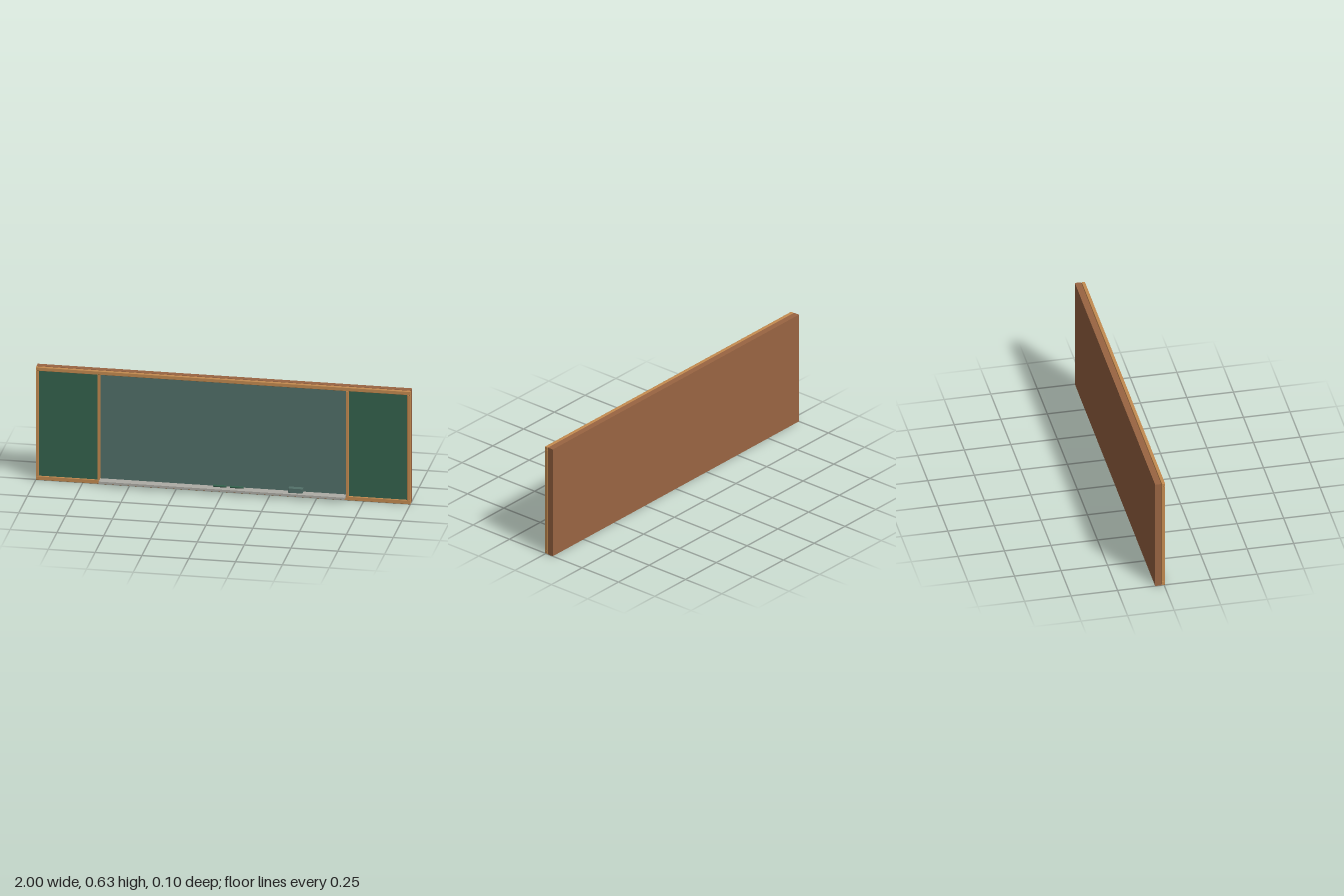
import * as THREE from 'three';
import { RoundedBoxGeometry } from 'three/addons/geometries/RoundedBoxGeometry.js';

const material = (name, color) => {
  const m = new THREE.MeshStandardMaterial({ color });
  m.name = name;
  return m;
};

export function createModel() {
  const group = new THREE.Group();
  const backWood = material('brown wood', 0x9a6542);
  const frameWood = material('light wood', 0xc48b50);
  const green = material('board green', 0x34634e);
  const slate = material('slate green', 0x527069);
  const metal = material('tray grey', 0xadaca5);

  // Box given by its limits on each axis; a bevel softens the edges
  const box = (name, mat, [x0, x1], [y0, y1], [z0, z1], bevel = 0) => {
    const size = [x1 - x0, y1 - y0, z1 - z0];
    const geometry = bevel
      ? new RoundedBoxGeometry(...size, 2, bevel)
      : new THREE.BoxGeometry(...size);
    const mesh = new THREE.Mesh(geometry, mat);
    mesh.name = name;
    mesh.position.set((x0 + x1) / 2, (y0 + y1) / 2, (z0 + z1) / 2);
    group.add(mesh);
  };

  // Backing slab
  box('backing', backWood, [-1, 1], [0, 0.633], [-0.048, -0.015]);

  // Writing surfaces, set back behind the frame
  const panelY = [0.012, 0.622], panelZ = [-0.016, -0.002];
  box('centrePanel', slate, [-0.664, 0.664], panelY, panelZ);
  box('leftPanel', green, [0.664, 0.992], panelY, panelZ);
  box('rightPanel', green, [-0.992, -0.664], panelY, panelZ);

  // Frame rails and posts
  const frameZ = [-0.012, 0.006];
  box('topRail', frameWood, [-1, 1], [0.613, 0.633], frameZ, 0.002);
  box('bottomRail', frameWood, [-1, 1], [0, 0.022], frameZ, 0.002);
  for (const [side, s] of [['left', 1], ['right', -1]]) {
    for (const [part, a, b] of [['OuterPost', 0.983, 1], ['Divider', 0.656, 0.672]]) {
      const limits = s > 0 ? [a, b] : [-b, -a];
      box(side + part, frameWood, limits, [0.021, 0.614], frameZ, 0.002);
    }
  }

  // Tray with two markers and an eraser
  box('tray', metal, [-0.656, 0.656], [0.018, 0.03], [-0.002, 0.049]);
  for (const x of [-0.05, 0.04]) {
    const marker = new THREE.Mesh(new THREE.CylinderGeometry(0.006, 0.006, 0.07, 12), green);
    marker.name = 'marker';
    marker.rotation.z = Math.PI / 2;
    marker.position.set(x + 0.035, 0.036, 0.014);
    group.add(marker);
  }
  box('eraser', slate, [0.353, 0.43], [0.032, 0.057], [0.006, 0.035], 0.001);

  return group;
}
